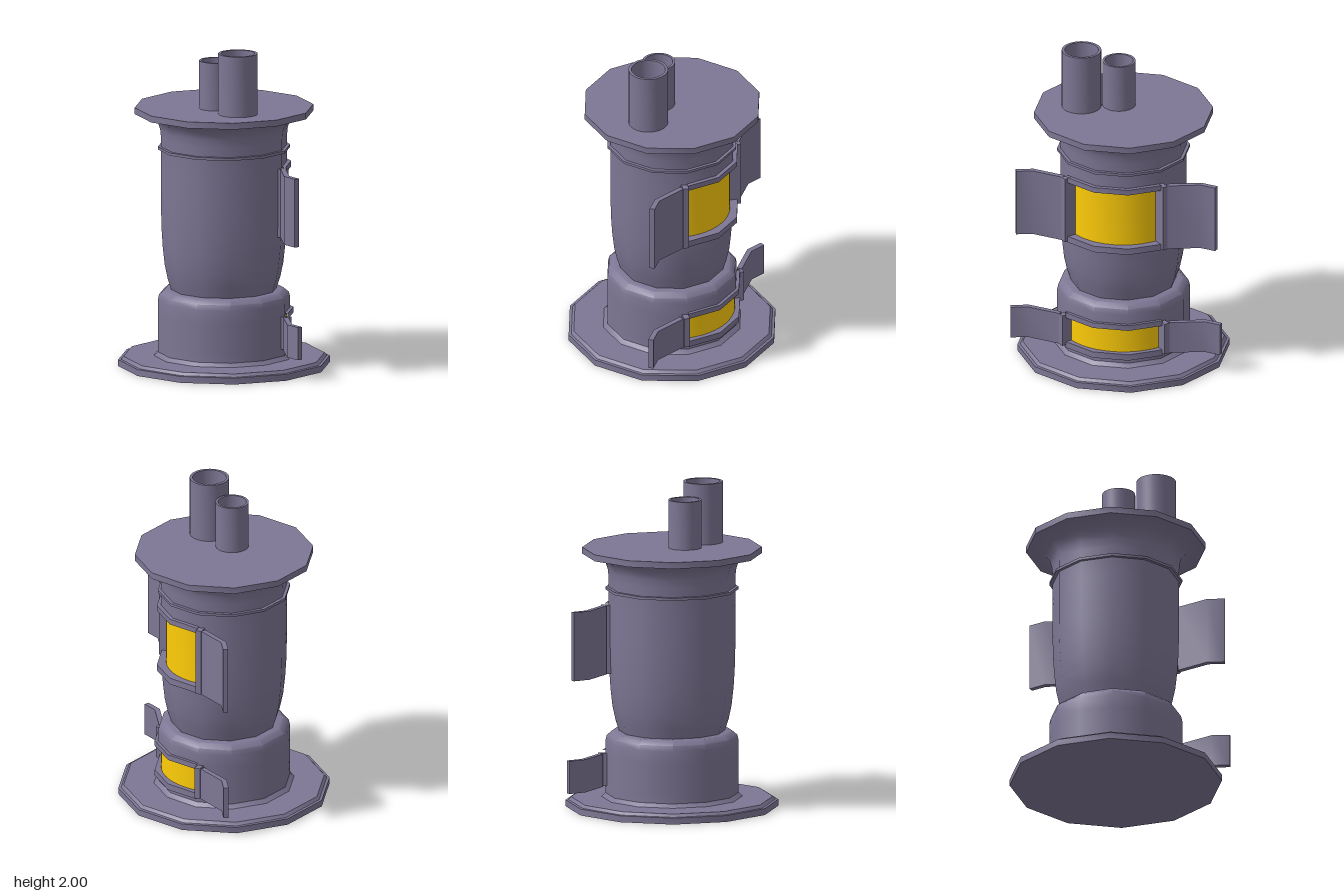
import * as THREE from 'three';
import { mergeGeometries, toCreasedNormals } from 'three/addons/utils/BufferGeometryUtils.js';

const iron = new THREE.MeshStandardMaterial({ color: 0x7e7795 });
const ironSheet = iron.clone();
ironSheet.side = THREE.DoubleSide;
const glow = new THREE.MeshStandardMaterial({ color: 0xffcd08, side: THREE.DoubleSide });
const quarter = Math.PI / 2;

function add(parent, name, geometry, material = iron) {
  const mesh = new THREE.Mesh(geometry, material);
  mesh.name = name;
  parent.add(mesh);
  return mesh;
}

const lathe = (profile, segments = 12, start = 0, length = Math.PI * 2) => new THREE.LatheGeometry(
  profile.map(([r, y]) => new THREE.Vector2(r, y)), segments, start, length);

// Smooth around, creased along the profile
const turned = (...args) => toCreasedNormals(lathe(...args), 0.65);

// Three stacked 12-sided parts, the middle one open over the +x/-z quarter
function openTurned(below, middle, above) {
  return toCreasedNormals(mergeGeometries([
    lathe(below), lathe(middle, 9, Math.PI, 3 * quarter), lathe(above),
  ]), 0.65);
}

// Bent door leaf swung open at the +x end of the opening; mirrored to the -z end
function doorLeaf(hingeX, hingeZ, long, short, t, y0, y1, mirrored) {
  const a = -Math.PI / 3, b = -Math.PI / 6, h = t / 2;
  const p0 = new THREE.Vector2(hingeX, -hingeZ);
  const p1 = p0.clone().add(new THREE.Vector2(Math.cos(a), Math.sin(a)).multiplyScalar(long));
  const p2 = p1.clone().add(new THREE.Vector2(Math.cos(b), Math.sin(b)).multiplyScalar(short));
  const side = (p, angle, d) => new THREE.Vector2(p.x - Math.sin(angle) * d, p.y + Math.cos(angle) * d);
  const mid = (a + b) / 2, miter = h / Math.cos((b - a) / 2);
  let outline = [
    side(p0, a, h), side(p1, mid, miter), side(p2, b, h),
    side(p2, b, -h), side(p1, mid, -miter), side(p0, a, -h),
  ];
  if (mirrored) outline = outline.map((p) => new THREE.Vector2(p.y, p.x));
  const geo = new THREE.ExtrudeGeometry(new THREE.Shape(outline), { depth: y1 - y0, bevelEnabled: false });
  return toCreasedNormals(geo.rotateX(-Math.PI / 2).translate(0, y0, 0), 0.65);
}

// Quarter-round opening with recessed glowing panel, frame and two open leaves
function opening(name, o) {
  const group = new THREE.Group();
  group.name = name;
  add(group, 'glowPanel', turned([[o.panel, o.y0], [o.panel, o.y1]], 12, quarter, quarter), glow);

  // curved rails above and below
  const inner = o.panel - 0.02;
  const rail = (lo, hi) => turned(
    [[inner, lo], [o.rail, lo], [o.rail, hi], [inner, hi], [inner, lo]], 3, quarter, quarter);
  add(group, 'lowerRail', rail(o.y0, o.y0 + 0.04));
  add(group, 'upperRail', rail(o.y1 - 0.035, o.y1));

  // upright posts and leaves at both ends
  const [bottom, top] = o.leaf;
  const depth = o.post - inner, middle = (o.post + inner) / 2;
  for (const mirrored of [false, true]) {
    const post = add(group, 'framePost', mirrored
      ? new THREE.BoxGeometry(0.036, top - bottom, depth)
      : new THREE.BoxGeometry(depth, top - bottom, 0.036));
    post.position.set(mirrored ? -0.016 : middle, (bottom + top) / 2, mirrored ? -middle : 0.016);
    add(group, 'doorLeaf', doorLeaf(o.hinge[0], o.hinge[1], o.long, o.short, 0.032, bottom, top, mirrored));
  }
  return group;
}

export function createModel() {
  const model = new THREE.Group();
  model.name = 'stove';

  // base plate and ash chamber
  add(model, 'base', openTurned(
    [[0, 0], [0.655, 0], [0.655, 0.04], [0.638, 0.042], [0.622, 0.06], [0.435, 0.062],
      [0.41, 0.085], [0.41, 0.132]],
    [[0.41, 0.132], [0.41, 0.332]],
    [[0.41, 0.332], [0.41, 0.41], [0.402, 0.445], [0.37, 0.472], [0.33, 0.475], [0, 0.475]],
  ), ironSheet);

  // barrel with flared neck
  add(model, 'barrel', openTurned(
    [[0.325, 0.47], [0.348, 0.54], [0.367, 0.63], [0.379, 0.74], [0.386, 0.85]],
    [[0.386, 0.85], [0.39, 1.0], [0.39, 1.247]],
    [[0.39, 1.247], [0.39, 1.43], [0.395, 1.48], [0.408, 1.522], [0.44, 1.555], [0.5, 1.577], [0.54, 1.582]],
  ), ironSheet);
  add(model, 'barrelBand', turned([
    [0.38, 1.355], [0.41, 1.355], [0.41, 1.372], [0.38, 1.372],
  ]));
  add(model, 'topPlate', turned([[0, 1.58], [0.553, 1.58], [0.553, 1.62], [0, 1.62]]));

  // open chimney pipes
  const pipe = (name, x, z, outer, inner, top) => {
    const mesh = add(model, name, turned([[outer, 1.6], [outer, top], [inner, top], [inner, 1.6]], 32));
    mesh.position.set(x, 0, z);
  };
  pipe('largePipe', 0.181, 0.194, 0.122, 0.104, 2.0);
  pipe('smallPipe', -0.02, 0.08, 0.102, 0.087, 1.92);

  // fire door and ash door
  model.add(opening('fireDoor', {
    y0: 0.826, y1: 1.267, panel: 0.357, rail: 0.416, post: 0.436,
    hinge: [0.418, 0.04], long: 0.21, short: 0.106, leaf: [0.832, 1.261],
  }));
  model.add(opening('ashDoor', {
    y0: 0.112, y1: 0.35, panel: 0.388, rail: 0.43, post: 0.455,
    hinge: [0.438, 0.045], long: 0.22, short: 0.11, leaf: [0.13, 0.335],
  }));
  return model;
}
